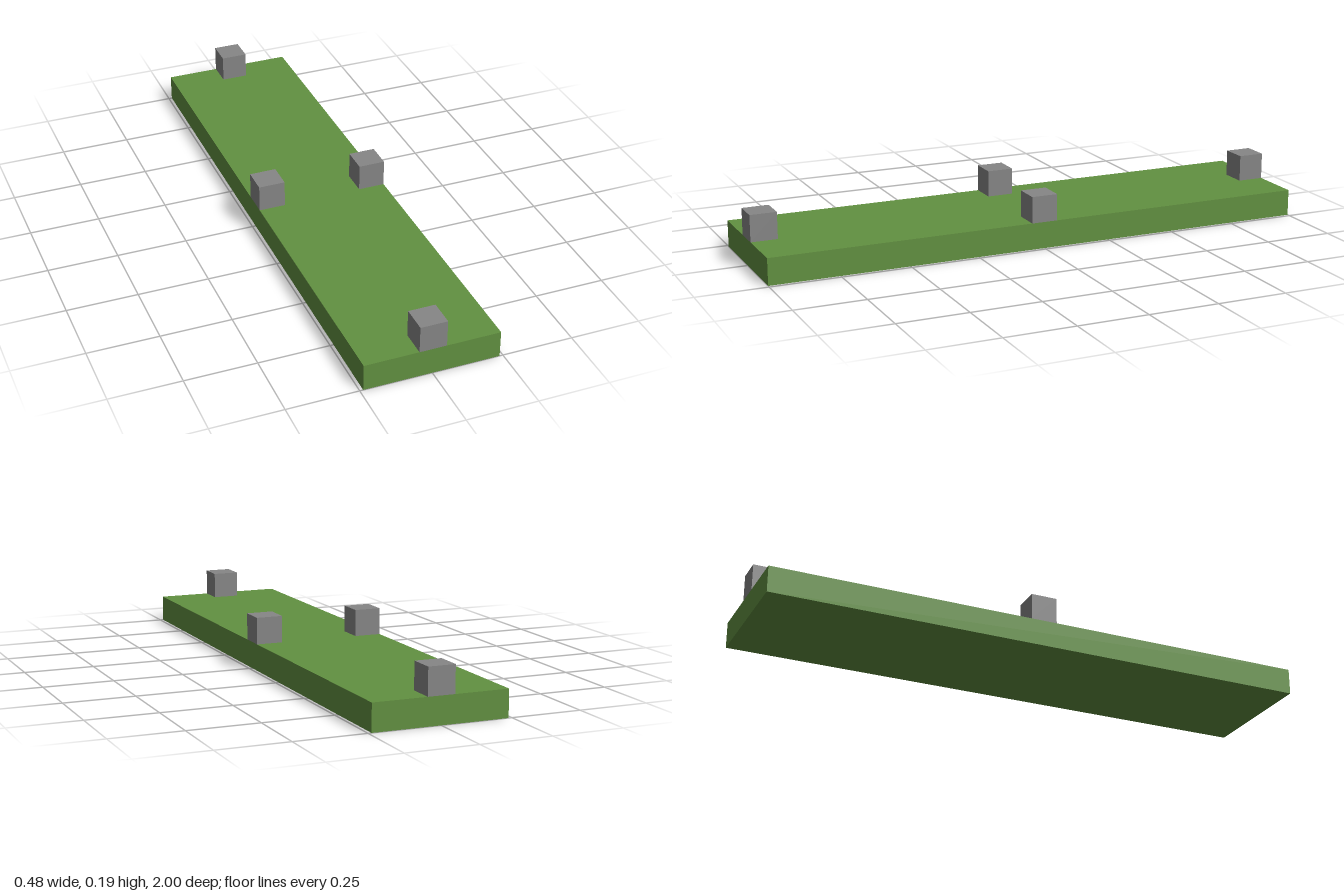
import * as THREE from 'three';

export function createModel() {
  const u = 2 / 21; // block size: the slab is 5 x 1 x 21 blocks
  const green = new THREE.MeshStandardMaterial({ color: 0x629141 });
  green.name = 'grassGreen';
  const grey = new THREE.MeshStandardMaterial({ color: 0x878787 });
  grey.name = 'stoneGrey';

  const model = new THREE.Group();
  model.name = 'platform';

  const addBox = (name, material, size, position) => {
    const mesh = new THREE.Mesh(new THREE.BoxGeometry(...size), material);
    mesh.name = name;
    mesh.position.set(...position);
    model.add(mesh);
  };

  // Long flat slab
  addBox('slab', green, [5 * u, u, 21 * u], [0, u / 2, 0]);

  // One cube at the middle of each edge
  const cubes = { front: [0, 10], back: [0, -10], left: [2, 0], right: [-2, 0] };
  for (const [side, [x, z]] of Object.entries(cubes)) {
    addBox(`${side}Cube`, grey, [u, u, u], [x * u, 1.5 * u, z * u]);
  }
  return model;
}
